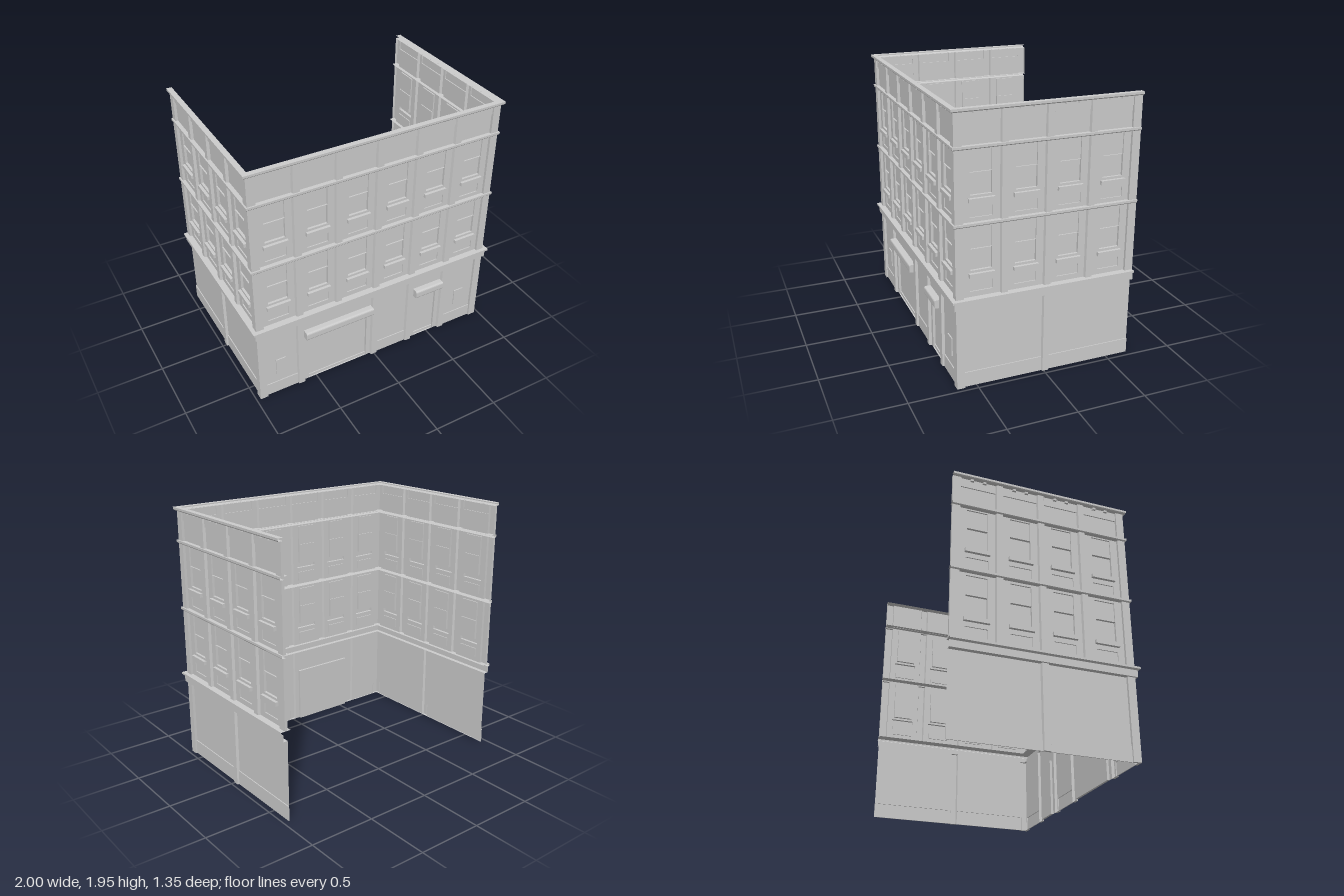
import * as THREE from 'three';

const mat = new THREE.MeshStandardMaterial({ color: 0xcccccc, side: THREE.DoubleSide, flatShading: true });
const X = 0.97, Z = 0.645, BACK = -0.672; // pilaster faces and rear ends of the side walls
const WALL = -0.02;                       // wall plane behind the pilaster face

function add(parent, name, geo) {
  const mesh = new THREE.Mesh(geo, mat);
  mesh.name = name;
  parent.add(mesh);
  return mesh;
}

function quads(list) {
  const pos = [];
  for (const [a, b, c, d] of list) pos.push(...a, ...b, ...c, ...a, ...c, ...d);
  const geo = new THREE.BufferGeometry();
  geo.setAttribute('position', new THREE.Float32BufferAttribute(pos, 3));
  geo.computeVertexNormals();
  return geo;
}

// Open-backed block (z1 > z0) or recess (z1 < z0), optionally with bevelled sides
function relief(parent, name, [x0, x1, y0, y1], z0, z1, bevel = 0) {
  const o = [[x0, y0, z0], [x1, y0, z0], [x1, y1, z0], [x0, y1, z0]];
  const i = [[x0 + bevel, y0, z1], [x1 - bevel, y0, z1], [x1 - bevel, y1, z1], [x0 + bevel, y1, z1]];
  const list = [i];
  for (let k = 0; k < 4; k++) {
    const n = (k + 1) % 4;
    list.push([o[k], o[n], i[n], i[k]]);
  }
  return add(parent, name, quads(list));
}

// Flat wall sheet with rectangular openings
function sheet(parent, name, [x0, x1, y0, y1], holes = []) {
  const ring = (a, b, c, d) => [[a, c], [b, c], [b, d], [a, d]].map(p => new THREE.Vector2(...p));
  const shape = new THREE.Shape(ring(x0, x1, y0, y1));
  for (const h of holes) shape.holes.push(new THREE.Path(ring(...h).reverse()));
  add(parent, name, new THREE.ShapeGeometry(shape).translate(0, 0, WALL));
}

// Moulding: a profile of [offset, height] carried round the three walls with mitred corners
function moulding(parent, name, profile) {
  const path = ([d, y]) => [
    [-X - d, y, BACK], [-X - d, y, Z + d], [X + d, y, Z + d], [X + d, y, BACK]];
  const list = [];
  for (let k = 0; k < profile.length - 1; k++) {
    const a = path(profile[k]), b = path(profile[k + 1]);
    for (let s = 0; s < 3; s++) list.push([a[s], a[s + 1], b[s + 1], b[s]]);
  }
  add(parent, name, quads(list));
}

// One window bay of an upper storey
function windowBay(wall, x0, x1, y0, y1, base) {
  const c = (x0 + x1) / 2;
  const lower = [c - 0.075, c + 0.075, base + 0.19, base + 0.342];
  const upper = [c - 0.075, c + 0.075, base + 0.342, base + 0.49];
  const apron = [c - 0.08, c + 0.08, base + 0.04, base + 0.11];
  const sill = [c - 0.09, c + 0.09, base + 0.145, base + 0.173];
  sheet(wall, 'bayWall', [x0, x1, y0, y1],
    [[lower[0], lower[1], lower[2], upper[3]], apron, sill]);
  relief(wall, 'lowerSash', lower, WALL, WALL - 0.018);
  relief(wall, 'upperSash', upper, WALL, WALL - 0.01);
  relief(wall, 'apronPanel', apron, WALL, WALL - 0.008);
  relief(wall, 'windowSill', sill, WALL, 0.002);
}

// Attic bay with an overhanging frieze and two small dentils
function atticBay(wall, x0, x1) {
  const c = (x0 + x1) / 2;
  sheet(wall, 'atticWall', [x0, x1, 1.71, 1.862]);
  relief(wall, 'frieze', [x0, x1, 1.862, 1.932], WALL, WALL + 0.008);
  for (const s of [-1, 1]) {
    const m = c + s * 0.046;
    relief(wall, 'dentil', [m - 0.014, m + 0.014, 1.915, 1.932], WALL + 0.008, 0.004, 0.004);
  }
}

// Three upper levels over a row of pilasters given as [start, end]
function upperStoreys(wall, pilasters) {
  const levels = [[0.672, 1.178], [1.2, 1.69], [1.71, 1.932]];
  levels.forEach(([y0, y1], level) => {
    pilasters.forEach(([a, b], i) => {
      const corner = i === 0 || i === pilasters.length - 1;
      relief(wall, 'pilaster', [a, b, y0, y1], WALL, 0, corner ? 0 : 0.006);
      if (i === pilasters.length - 1) return;
      const next = pilasters[i + 1][0];
      if (level < 2) windowBay(wall, b, next, y0, y1, level ? 1.19 : 0.67);
      else atticBay(wall, b, next);
    });
  });
}

// Plain ground-floor bay with a skirting plinth
function plainBay(wall, x0, x1, plinth = 0.1) {
  sheet(wall, 'groundWall', [x0, x1, plinth, 0.6]);
  relief(wall, 'plinth', [x0, x1, 0, plinth], WALL, WALL + 0.007);
}

// Doorway with a roller shutter and its rounded housing
function shutterBay(wall, x0, x1) {
  const door = [x0 + 0.035, x1 - 0.035, 0, 0.437];
  sheet(wall, 'doorSurround', [x0, x1, 0, 0.6], [door]);
  relief(wall, 'shutter', door, WALL, WALL - 0.018);
  relief(wall, 'shutterFoot', [door[0], door[1], 0, 0.022], WALL - 0.018, WALL - 0.01);
  const s = new THREE.Shape();
  s.moveTo(WALL, 0.435);
  s.lineTo(0.016, 0.435);
  s.quadraticCurveTo(0.03, 0.435, 0.03, 0.45);
  s.lineTo(0.03, 0.482);
  s.quadraticCurveTo(0.03, 0.498, 0.014, 0.498);
  s.lineTo(WALL, 0.498);
  const geo = new THREE.ExtrudeGeometry(s, { depth: x1 - x0 - 0.006, bevelEnabled: false, curveSegments: 4 });
  add(wall, 'shutterHousing', geo.rotateY(-Math.PI / 2).translate(x1 - 0.003, 0, 0));
}

function frontWall() {
  const wall = new THREE.Group();
  wall.name = 'frontWall';
  const pilasters = [];
  for (let i = -3; i <= 3; i++) pilasters.push([i * 0.3135 - 0.03, i * 0.3135 + 0.03]);
  pilasters[0][0] = -X;
  pilasters[6][1] = X;
  upperStoreys(wall, pilasters);
  // ground floor: the wide shutter spans two bays
  const ground = pilasters.filter((p, i) => i !== 2);
  ground.forEach(([a, b], i) => {
    const corner = i === 0 || i === 5;
    relief(wall, 'groundPilaster', [a, b, 0, 0.6], WALL, 0, corner ? 0 : 0.006);
    if (i === 5) return;
    const bay = i === 1 || i === 3 ? shutterBay : plainBay;
    bay(wall, b, ground[i + 1][0]);
  });
  for (const s of [-1, 1])
    relief(wall, 'meterBox', [s * 0.787 - 0.04, s * 0.787 + 0.04, 0.178, 0.315], WALL, WALL + 0.008);
  wall.position.z = Z;
  return wall;
}

// side = 1 for the left wall (+x), -1 for the right wall
function sideWall(side) {
  const wall = new THREE.Group();
  wall.name = side > 0 ? 'leftWall' : 'rightWall';
  const span = (a, b) => side > 0 ? [-b, -a] : [a, b]; // z range to wall coordinate
  const spans = [[BACK, -0.612], [-0.355, -0.297], [-0.042, 0.015], [0.273, 0.328], [0.587, Z]];
  const pilasters = spans.map(p => span(...p)).sort((p, q) => p[0] - q[0]);
  upperStoreys(wall, pilasters);
  for (const i of [2, 4])
    relief(wall, 'groundPilaster', [...span(...spans[i]), 0, 0.6], WALL, 0, i === 2 ? 0.006 : 0);
  plainBay(wall, ...span(BACK, spans[2][0]), 0.11);
  plainBay(wall, ...span(spans[2][1], spans[4][0]), 0.11);
  wall.rotation.y = side * Math.PI / 2;
  wall.position.x = side * X;
  return wall;
}

export function createModel() {
  const model = new THREE.Group();
  model.name = 'buildingFacade';
  model.add(frontWall(), sideWall(1), sideWall(-1));
  moulding(model, 'shopCornice', [[WALL, 0.6], [0.014, 0.6], [0.014, 0.65],
    [0.03, 0.658], [0.03, 0.672], [-0.045, 0.672]]);
  for (const y of [1.178, 1.69])
    moulding(model, 'storeyLedge', [[WALL, y], [0.006, y], [0.011, y + 0.006],
      [0.011, y + 0.022], [-0.045, y + 0.022]]);
  moulding(model, 'roofCornice', [[WALL, 1.93], [0.014, 1.93], [0.02, 1.937],
    [0.02, 1.953], [WALL, 1.953]]);
  return model;
}
